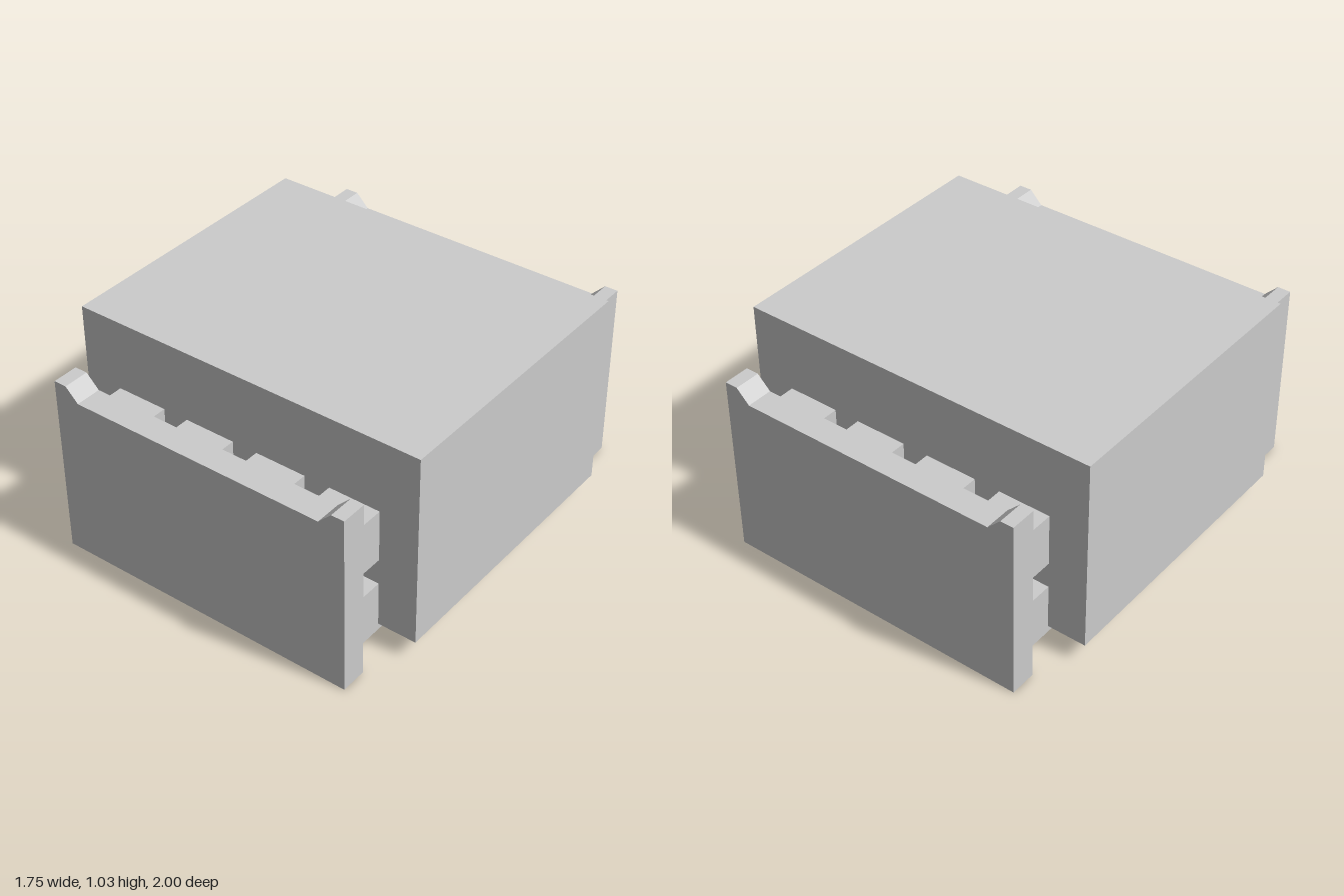
import * as THREE from 'three';

export function createModel() {
  const group = new THREE.Group();
  const material = new THREE.MeshStandardMaterial({ color: 0xcccccc, flatShading: true });

  function add(name, geometry, x, y, z) {
    const mesh = new THREE.Mesh(geometry, material);
    mesh.name = name;
    mesh.position.set(x, y, z);
    group.add(mesh);
  }

  // Main block
  add('body', new THREE.BoxGeometry(1.75, 0.9375, 1.375), 0, 0.5625, 0);

  // Two rows of four bars running through the block to the end plates
  const bar = new THREE.BoxGeometry(0.25, 0.25, 1.75);
  for (const [name, y] of [['lowerBar', 0.1875], ['upperBar', 0.5625]]) {
    for (let i = 0; i < 4; i++) add(name + (i + 1), bar, -0.5625 + i * 0.375, y, 0);
  }

  // End plates with a shallow notch and sloped corners along the top
  const outline = new THREE.Shape([
    [-0.75, 0], [0.75, 0], [0.75, 0.875], [0.6875, 0.875],
    [0.625, 0.8125], [-0.625, 0.8125], [-0.6875, 0.875], [-0.75, 0.875],
  ].map(([x, y]) => new THREE.Vector2(x, y)));
  const plate = new THREE.ExtrudeGeometry(outline, { depth: 0.125, bevelEnabled: false });
  add('frontPlate', plate, 0, 0, 0.875);
  add('backPlate', plate, 0, 0, -1);

  return group;
}
